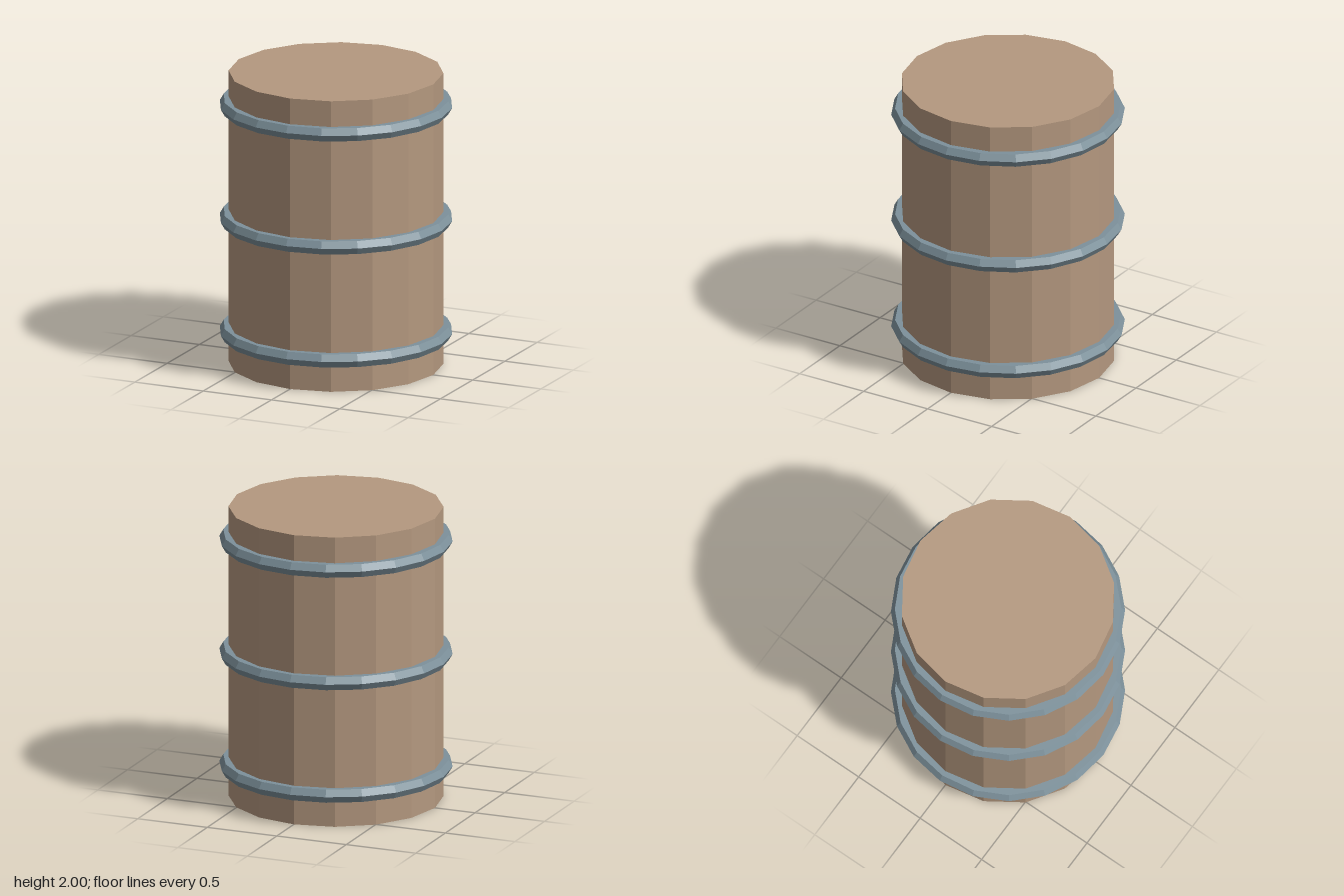
import * as THREE from 'three';

export function createModel() {
  const group = new THREE.Group();

  const wood = new THREE.MeshStandardMaterial({ color: 0xb4987f, flatShading: true });
  wood.name = 'tan wood';
  const metal = new THREE.MeshStandardMaterial({ color: 0x7d919b, flatShading: true });
  metal.name = 'blue grey metal';

  // Sixteen-sided barrel body with closed ends
  const body = new THREE.Mesh(new THREE.CylinderGeometry(0.712, 0.712, 2, 16), wood);
  body.name = 'barrelBody';
  body.position.y = 1;
  group.add(body);

  // Three hoops with a hexagonal section
  const hoopGeometry = new THREE.TorusGeometry(0.723, 0.052, 6, 20).rotateX(Math.PI / 2);
  [['lowerHoop', 0.222], ['middleHoop', 1], ['upperHoop', 1.778]].forEach(([name, y]) => {
    const hoop = new THREE.Mesh(hoopGeometry, metal);
    hoop.name = name;
    hoop.position.y = y;
    group.add(hoop);
  });

  return group;
}
